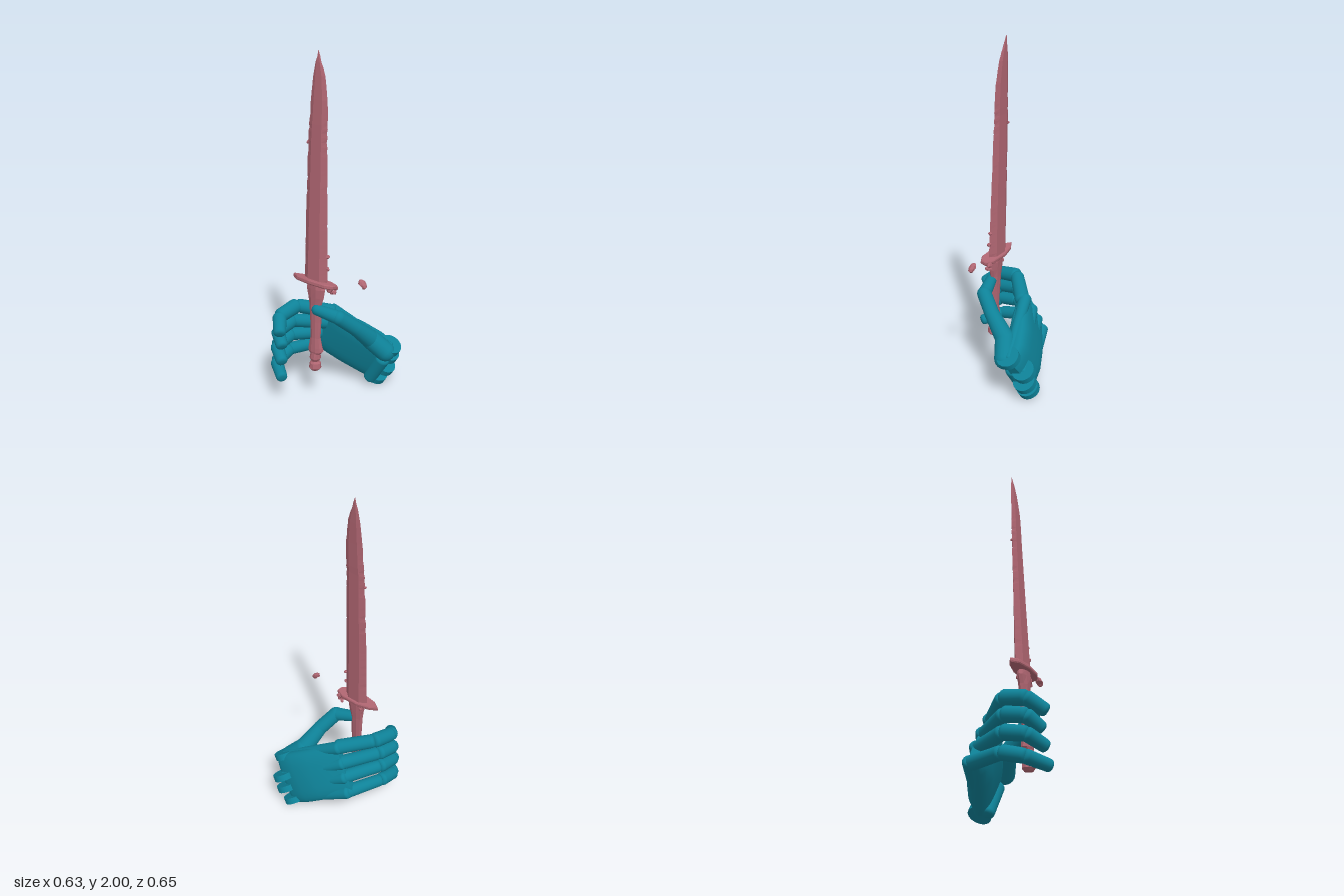
import * as THREE from 'three';

const V = (x, y, z) => new THREE.Vector3(x, y, z);
const teal = new THREE.MeshStandardMaterial({ color: 0x0e8298 });
const rust = new THREE.MeshStandardMaterial({ color: 0xb06672, flatShading: true });

function seeded(seed) {
  return () => (seed = (seed * 16807) % 2147483647) / 2147483647;
}

function add(parent, name, geometry, material) {
  const mesh = new THREE.Mesh(geometry, material);
  mesh.name = name;
  parent.add(mesh);
  return mesh;
}

// Closed skin over equal-length rings, each counter-clockwise about the travel direction
function loft(rings) {
  const n = rings[0].length, pos = [], idx = [];
  rings.forEach(r => r.forEach(p => pos.push(p.x, p.y, p.z)));
  for (let i = 0; i < rings.length - 1; i++) {
    for (let j = 0; j < n; j++) {
      const k = (j + 1) % n, a = i * n + j, b = i * n + k;
      idx.push(a, b, b + n, a, b + n, a + n);
    }
  }
  [rings[0], rings[rings.length - 1]].forEach((ring, end) => {
    const base = pos.length / 3;
    const c = ring.reduce((s, p) => s.add(p), V(0, 0, 0)).divideScalar(n);
    [...ring, c].forEach(p => pos.push(p.x, p.y, p.z));
    for (let j = 0; j < n; j++) {
      const k = (j + 1) % n;
      if (end) idx.push(base + n, base + j, base + k);
      else idx.push(base + n, base + k, base + j);
    }
  });
  const g = new THREE.BufferGeometry();
  g.setAttribute('position', new THREE.Float32BufferAttribute(pos, 3));
  g.setIndex(idx);
  g.computeVertexNormals();
  return g;
}

// Upright loft from stations [y, centre x, centre z, half width, half depth]
function column(stations, sides, wear, seed) {
  const rnd = seeded(seed);
  return loft(stations.map(([y, cx, cz, rx, rz]) => Array.from({ length: sides }, (_, j) => {
    const t = j / sides * Math.PI * 2, w = 1 + (rnd() - 0.5) * wear;
    return V(cx + Math.cos(t) * rx * w, y, cz - Math.sin(t) * rz * w);
  })));
}

// Tapered rod with blunt rounded ends between two points
function rod(parent, name, a, b, ra, rb, blunt = 0.6) {
  const len = a.distanceTo(b), pts = [];
  for (let i = 0; i <= 6; i++) {
    const t = -Math.PI / 2 + i * Math.PI / 12;
    pts.push(new THREE.Vector2(Math.abs(Math.cos(t)) ** blunt * ra, Math.sin(t) * ra * blunt));
  }
  for (let i = 0; i <= 6; i++) {
    const t = i * Math.PI / 12;
    pts.push(new THREE.Vector2(Math.abs(Math.cos(t)) ** blunt * rb, len + Math.sin(t) * rb * blunt));
  }
  const mesh = add(parent, name, new THREE.LatheGeometry(pts, 20), teal);
  mesh.position.copy(a);
  mesh.quaternion.setFromUnitVectors(V(0, 1, 0), b.clone().sub(a).normalize());
}

function buildSword() {
  const sword = new THREE.Group();
  sword.name = 'dagger';

  // Worn blade: flat-faced section with nicked edges
  const outline = [ // y, left x, right x, z, half thickness
    [0.74, -0.142, 0.022, 0.106, 0.026], [1.1, -0.138, 0.012, 0.094, 0.02],
    [1.58, -0.128, 0.002, 0.076, 0.014], [1.62, -0.124, 0.003, 0.074, 0.014],
    [1.75, -0.115, -0.002, 0.068, 0.012], [1.87, -0.104, -0.022, 0.06, 0.009],
    [1.94, -0.092, -0.048, 0.055, 0.006], [2.0, -0.076, -0.074, 0.05, 0.001]];
  const rnd = seeded(7), rings = [];
  const ring = ([y, l, r, z, t]) => {
    const c = (l + r) / 2, h = (r - l) / 4;
    const nick = () => (rnd() < 0.25 ? 0.006 : 0.001) * rnd();
    return [V(r - nick(), y, z), V(c + h, y, z - t), V(c - h, y, z - t),
      V(l + nick(), y, z), V(c - h, y, z + t), V(c + h, y, z + t)];
  };
  for (let i = 0; i < outline.length - 1; i++) {
    const steps = Math.max(2, Math.round((outline[i + 1][0] - outline[i][0]) / 0.025));
    for (let s = 0; s < steps; s++) {
      rings.push(ring(outline[i].map((v, k) => v + (outline[i + 1][k] - v) * s / steps)));
    }
  }
  rings.push(ring(outline[outline.length - 1]));
  add(sword, 'blade', loft(rings), rust);

  // Pointed crossguard, tipped slightly up at the front
  const plan = new THREE.Shape([[-0.213, 0.005], [-0.17, -0.02], [-0.09, -0.04], [0.02, -0.04],
    [0.073, -0.02], [0.07, 0.012], [0.03, 0.035], [-0.08, 0.042], [-0.17, 0.03]]
    .map(p => new THREE.Vector2(...p)));
  const guard = add(sword, 'crossguard', new THREE.ExtrudeGeometry(plan, {
    depth: 0.014, bevelThickness: 0.006, bevelSize: 0.004, bevelSegments: 1 }).rotateX(Math.PI / 2), rust);
  guard.position.set(0, 0.743, 0.11);
  guard.rotation.set(-0.15, 0, -0.03);

  // Grip with flared top and bottom
  add(sword, 'grip', column([
    [0.3, -0.052, 0.127, 0.035, 0.026], [0.315, -0.052, 0.126, 0.052, 0.03],
    [0.34, -0.052, 0.125, 0.046, 0.026], [0.4, -0.054, 0.123, 0.036, 0.021],
    [0.5, -0.056, 0.119, 0.038, 0.022], [0.6, -0.058, 0.116, 0.044, 0.023],
    [0.65, -0.056, 0.114, 0.052, 0.026], [0.7, -0.056, 0.112, 0.064, 0.029],
    [0.735, -0.058, 0.11, 0.054, 0.028]], 10, 0.14, 21), rust);

  // Pommel
  add(sword, 'pommel', column([
    [0.195, -0.053, 0.132, 0.024, 0.024], [0.21, -0.053, 0.132, 0.038, 0.036],
    [0.24, -0.053, 0.131, 0.034, 0.032], [0.252, -0.053, 0.13, 0.024, 0.022],
    [0.27, -0.053, 0.129, 0.035, 0.03], [0.305, -0.053, 0.128, 0.03, 0.026]], 10, 0.1, 33), rust);

  // Crumbling pieces by the guard and one loose fragment
  const shards = [[0.03, 0.71, 0.1, 0.024], [0.055, 0.695, 0.09, 0.018], [0.035, 0.685, 0.085, 0.014],
    [0.05, 0.72, 0.08, 0.022], [-0.1, 0.69, 0.1, 0.016], [0.018, 0.9, 0.098, 0.014],
    [0.02, 0.83, 0.103, 0.015], [-0.13, 1.52, 0.078, 0.01]];
  shards.forEach(([x, y, z, r], i) => {
    const m = add(sword, 'rustFlake', new THREE.DodecahedronGeometry(r), rust);
    m.position.set(x, y, z);
    m.rotation.set(i, i * 2, i * 0.7);
    m.scale.set(0.8, 1, 0.7);
  });
  add(sword, 'looseFragment', column([
    [0.755, 0.24, 0.066, 0.008, 0.008], [0.765, 0.242, 0.066, 0.014, 0.016],
    [0.78, 0.23, 0.065, 0.023, 0.022], [0.795, 0.222, 0.063, 0.016, 0.017],
    [0.802, 0.215, 0.062, 0.007, 0.008]], 7, 0.2, 5), rust);
  return sword;
}

function buildHand() {
  const hand = new THREE.Group();
  hand.name = 'hand';

  // Palm frame: along the fingers, across the knuckles, and out of the palm
  const wrist = V(0.182, 0.17, -0.212), knuckles = V(-0.13, 0.355, -0.075);
  const along = knuckles.clone().sub(wrist).normalize();
  const out = V(0.42, 0.89, 0.11).cross(along).normalize();
  const across = along.clone().cross(out).normalize();

  // Palm: rounded slab with an arched back [position, half width, half depth, shift outward]
  const round = (v, p) => Math.sign(v) * Math.abs(v) ** p;
  add(hand, 'palm', loft([[-0.08, 0.14, 0.03, -0.01], [0, 0.165, 0.047, -0.014], [0.25, 0.168, 0.066, -0.02],
    [0.55, 0.168, 0.068, -0.015], [0.8, 0.166, 0.058, -0.008], [1, 0.16, 0.042, -0.008],
    [1.07, 0.152, 0.024, -0.016]]
    .map(([s, w, t, o]) => Array.from({ length: 32 }, (_, j) => {
      const a = j / 32 * Math.PI * 2;
      return wrist.clone().lerp(knuckles, s)
        .addScaledVector(out, round(Math.cos(a), 0.7) * t + o)
        .addScaledVector(across, round(Math.sin(a), 0.6) * w);
    }))), teal);

  // Heel of the palm
  rod(hand, 'palmHeel', V(0.2, 0.2, -0.19), V(0.115, 0.055, -0.195), 0.045, 0.04);

  // Fingers, index to little: wrist disc centre, knuckle, two joints, tip
  const fingers = [
    [V(0.25, 0.305, -0.195), V(-0.08, 0.485, -0.06), V(-0.23, 0.535, 0.08), V(-0.245, 0.51, 0.215), V(-0.185, 0.455, 0.285)],
    [V(0.195, 0.21, -0.262), V(-0.125, 0.4, -0.075), V(-0.252, 0.44, 0.1), V(-0.258, 0.415, 0.22), V(-0.19, 0.365, 0.265)],
    [V(0.175, 0.125, -0.255), V(-0.16, 0.32, -0.09), V(-0.265, 0.345, 0.1), V(-0.265, 0.32, 0.225), V(-0.18, 0.275, 0.28)],
    [V(0.125, 0.055, -0.245), V(-0.2, 0.235, -0.105), V(-0.28, 0.24, 0.1), V(-0.275, 0.21, 0.22), V(-0.17, 0.18, 0.295)]];
  fingers.forEach(([disc, knuckle, j1, j2, tip], i) => {
    const r = [0.044, 0.043, 0.042, 0.04][i];
    // Bone ridge on the back of the hand, ending in a flat disc at the wrist
    rod(hand, 'handBone', disc, knuckle.clone().addScaledVector(out, -0.018), 0.024, 0.038);
    const end = add(hand, 'wristDisc', new THREE.CylinderGeometry(0.065, 0.065, 0.038, 28), teal);
    end.position.copy(disc);
    end.quaternion.setFromUnitVectors(V(0, 1, 0), across);
    // Three jointed segments with small steps between them
    const joints = [knuckle, j1, j2, tip];
    const radii = [[r, r * 0.92], [r, r * 0.94], [r * 0.92, r * 0.82]];
    ['fingerBase', 'fingerMiddle', 'fingerEnd'].forEach((name, k) => {
      const a = joints[k].clone().lerp(joints[k + 1], k ? 0.1 : 0);
      const b = joints[k + 1].clone().lerp(joints[k], k < 2 ? 0.08 : 0);
      rod(hand, name, a, b, ...radii[k]);
    });
  });

  // Thumb: ball, bone and two jointed segments
  const t = [V(0.24, 0.28, -0.16), V(0.17, 0.355, -0.115), V(0.137, 0.465, 0), V(0.09, 0.548, 0.09), V(-0.035, 0.578, 0.13)];
  rod(hand, 'thumbBall', t[0], t[1], 0.058, 0.058, 1);
  rod(hand, 'thumbBase', t[1], t[2], 0.056, 0.043, 1);
  rod(hand, 'thumbMiddle', t[2], t[3], 0.043, 0.042, 1);
  rod(hand, 'thumbEnd', t[3], t[4], 0.04, 0.032, 1);
  return hand;
}

export function createModel() {
  const model = new THREE.Group();
  model.name = 'handHoldingDagger';
  model.add(buildSword(), buildHand());
  return model;
}
